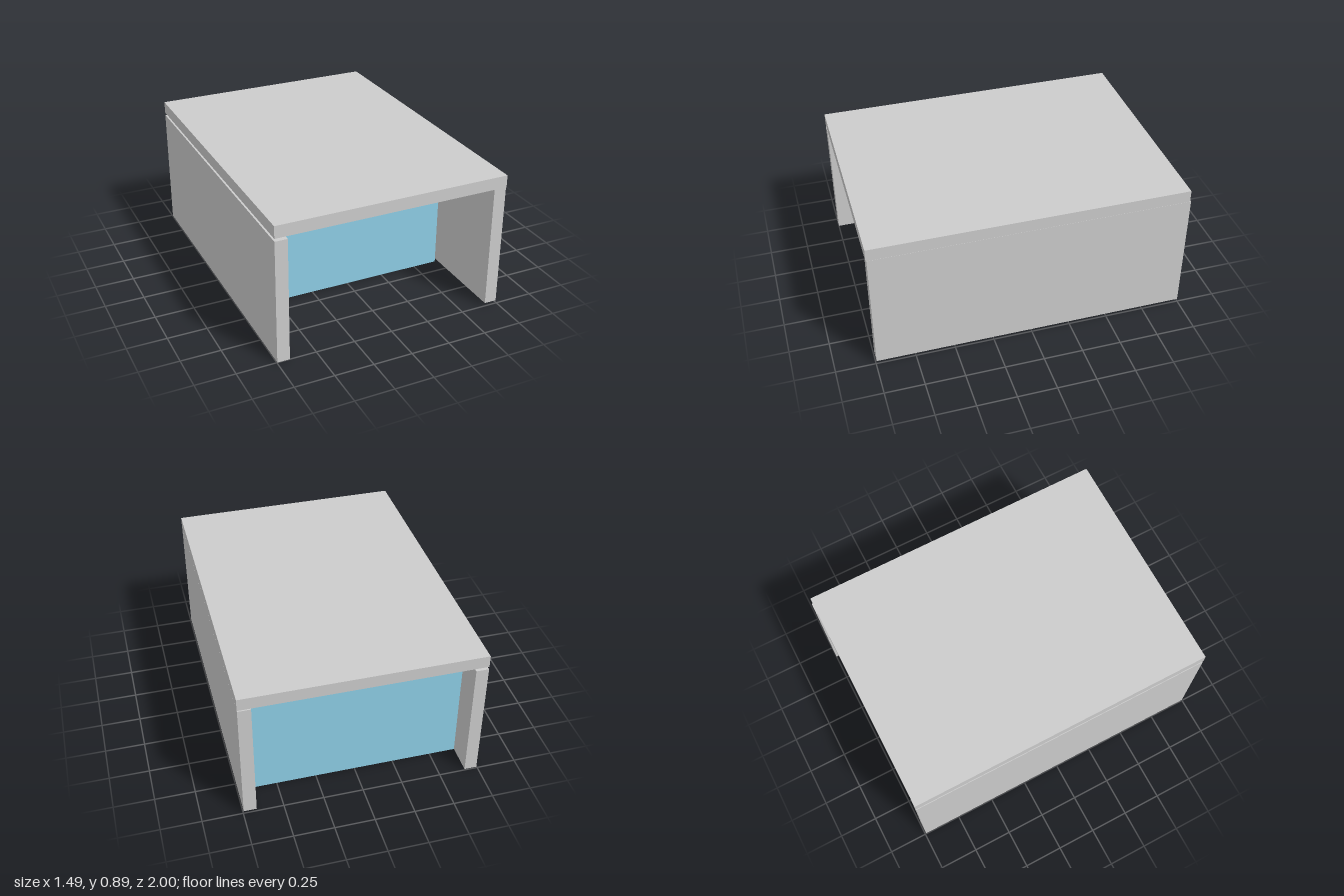
import * as THREE from 'three';

const material = (color) => new THREE.MeshStandardMaterial({ color });

// Box panel given by its limits on each axis
function panel(name, [x0, x1], [y0, y1], [z0, z1], mat) {
  const mesh = new THREE.Mesh(new THREE.BoxGeometry(x1 - x0, y1 - y0, z1 - z0), mat);
  mesh.position.set((x0 + x1) / 2, (y0 + y1) / 2, (z0 + z1) / 2);
  mesh.name = name;
  return mesh;
}

export function createModel() {
  const group = new THREE.Group();
  group.name = 'panelShelter';
  const grey = material(0xcccccc);
  const blue = material(0x8dcde5);
  const teal = material(0x80d1d8);

  // Roof slab and the two side walls; the left wall sits slightly higher and further back
  group.add(
    panel('roof', [-0.747, 0.747], [0.815, 0.893], [-0.993, 1], grey),
    panel('rightWall', [-0.747, -0.668], [0, 0.797], [-0.993, 1], grey),
    panel('leftWall', [0.667, 0.747], [0.017, 0.814], [-1, 0.995], grey),
  );

  // Cross dividers between the walls, front to back
  const dividers = [
    ['frontDivider', 0.313, 0.392, blue],
    ['middleDivider', -0.275, -0.196, teal],
    ['backDivider', -0.806, -0.728, blue],
  ];
  for (const [name, z0, z1, mat] of dividers) {
    group.add(panel(name, [-0.668, 0.661], [0, 0.797], [z0, z1], mat));
  }
  return group;
}
